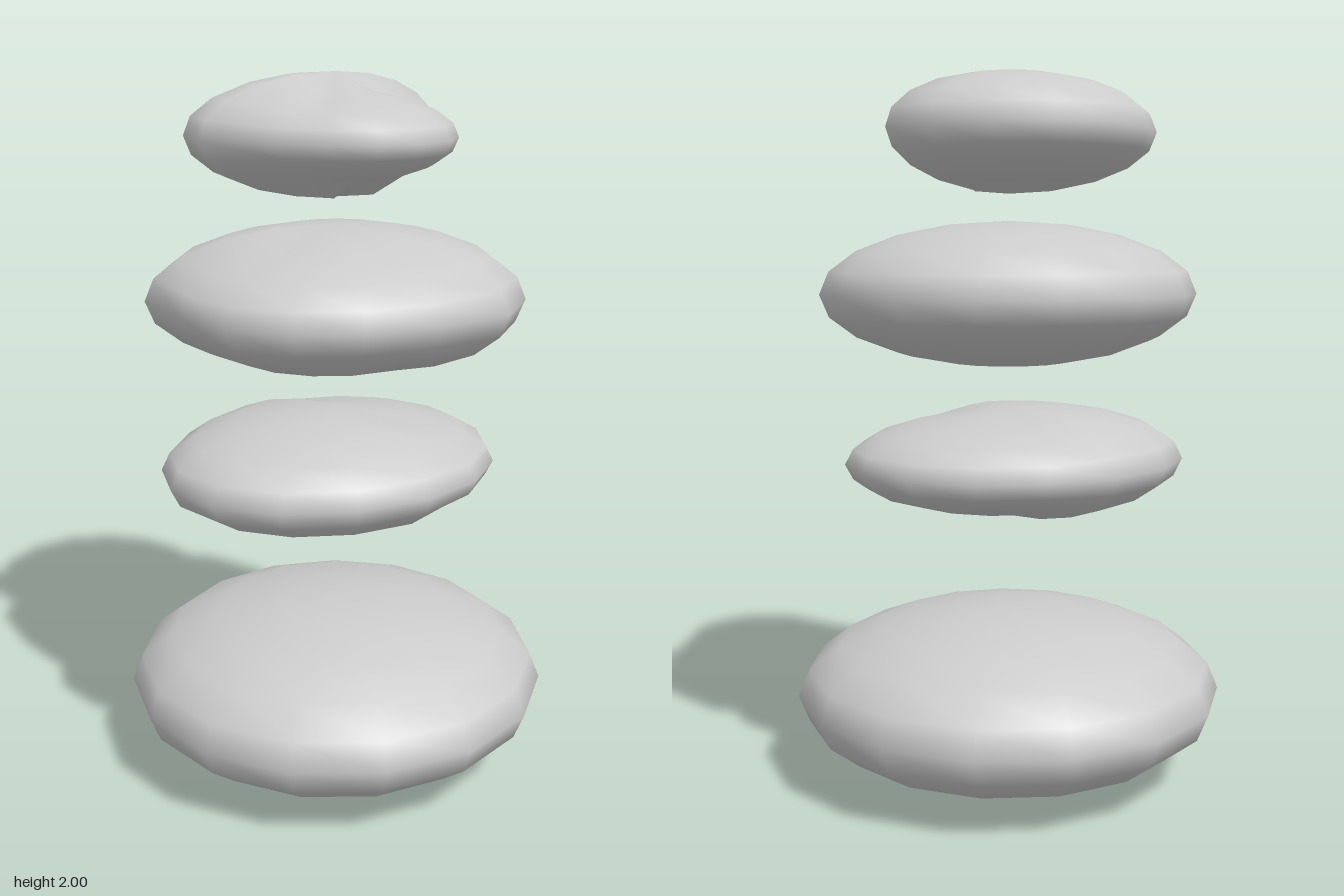
import * as THREE from 'three';
import { mergeVertices } from 'three/addons/utils/BufferGeometryUtils.js';

const SIDES = 15, RINGS = 10;

// Regular outline with separate radii; zBack applies to the -z half.
const oval = (r, zFront, zBack) => Array.from({ length: SIDES }, (_, k) => {
  const a = (k / SIDES) * Math.PI * 2;
  return [r * Math.cos(a), -(k <= SIDES / 2 ? zBack : zFront) * Math.sin(a)];
});

// Flattened pebble: outline points [x, z] run from +x towards -z;
// squash(x, y, z) returns the local factor on thickness.
function makeStone(name, bottom, top, outline, squash = () => 1) {
  const geo = new THREE.SphereGeometry(1, SIDES, RINGS);
  geo.rotateY(Math.PI);
  const p = geo.attributes.position;
  const half = (top - bottom) / 2;
  for (let i = 0; i < p.count; i++) {
    const ring = Math.hypot(p.getX(i), p.getZ(i));
    let x = 0, z = 0, y = p.getY(i) * half;
    if (ring > 0.01) {
      const a = Math.atan2(-p.getZ(i), p.getX(i));
      const k = (Math.round((a / (Math.PI * 2)) * SIDES) + SIDES) % SIDES;
      x = outline[k][0] * ring;
      z = outline[k][1] * ring;
      y *= squash(x, y, z);
    }
    p.setXYZ(i, x, y, z);
  }
  // Weld the seam so the shading stays smooth all round
  geo.deleteAttribute('uv');
  geo.deleteAttribute('normal');
  const welded = mergeVertices(geo, 1e-5);
  welded.computeVertexNormals();
  const mesh = new THREE.Mesh(welded, new THREE.MeshStandardMaterial({ color: 0xcccccc }));
  mesh.name = name;
  mesh.position.y = (bottom + top) / 2;
  return mesh;
}

export function createModel() {
  const group = new THREE.Group();
  group.name = 'stackedStones';

  // Large regular base stone
  group.add(makeStone('baseStone', 0.005, 0.488, oval(0.61, 0.61, 0.61)));

  // Long stone, thinner towards the back
  group.add(makeStone('lowerStone', 0.755, 1.08, oval(0.425, 0.525, 0.473),
    (x, y, z) => (z < -0.001 ? 0.86 : 1)));

  // Wide stone with a shallow dent on the front left
  const wide = [
    [0.462, 0.01], [0.465, -0.22], [0.34, -0.4], [0.15, -0.51], [-0.06, -0.535],
    [-0.27, -0.465], [-0.43, -0.315], [-0.515, -0.11], [-0.515, 0.11], [-0.425, 0.31],
    [-0.26, 0.46], [-0.03, 0.485], [0.17, 0.47], [0.32, 0.37], [0.42, 0.22],
  ];
  group.add(makeStone('upperStone', 1.19, 1.595, wide,
    (x, y, z) => (x > -0.04 && z > 0 ? (y > 0 ? 0.87 : 0.94) : 1)));

  // Small stone pinched towards +x, mirrored front to back
  const side = [
    [0.335, -0.115], [0.26, -0.21], [0.13, -0.28], [-0.055, -0.393],
    [-0.22, -0.345], [-0.35, -0.235], [-0.425, -0.085],
  ];
  const pinched = [[0.36, 0], ...side, ...side.map(([x, z]) => [x, -z]).reverse()];
  group.add(makeStone('topStone', 1.67, 2, pinched,
    (x, y) => (x > (y < -0.15 ? 0.09 : 0) ? 0.73 : 1)));

  return group;
}
